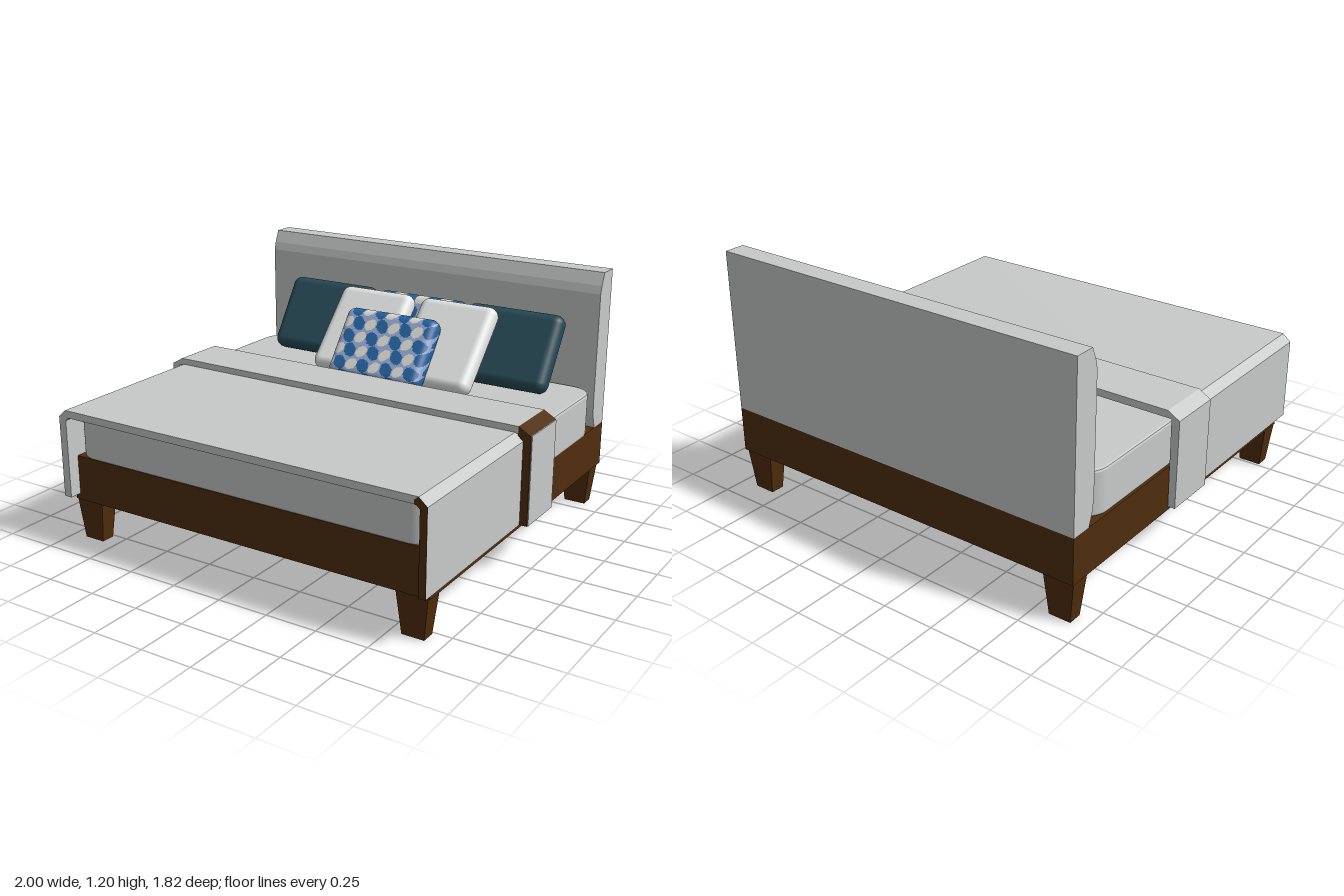
import * as THREE from 'three';
import { RoundedBoxGeometry } from 'three/addons/geometries/RoundedBoxGeometry.js';

const mat = (name, color) => {
  const m = new THREE.MeshStandardMaterial({ color });
  m.name = name;
  return m;
};

export function createModel() {
  const wood = mat('brown wood', 0x4f2d0d);
  const linen = mat('grey linen', 0xc8caca);
  const white = mat('white cotton', 0xe4e6e6);
  const teal = mat('dark teal', 0x264a55);
  const periwinkle = mat('periwinkle', 0x93a8d2);
  const blue = mat('blue', 0x2562a0);
  const cream = mat('cream', 0xdcdcd6);

  const bed = new THREE.Group();
  bed.name = 'bed';
  const add = (name, geometry, material, x = 0, y = 0, z = 0) => {
    const mesh = new THREE.Mesh(geometry, material);
    mesh.name = name;
    mesh.position.set(x, y, z);
    bed.add(mesh);
    return mesh;
  };
  const extrude = (points, depth) => new THREE.ExtrudeGeometry(
    new THREE.Shape(points.map(([x, y]) => new THREE.Vector2(x, y))),
    { depth, bevelEnabled: false });

  // Frame and tapered legs
  add('bedFrame', new THREE.BoxGeometry(1.9, 0.22, 1.76), wood, -0.005, 0.31, -0.03);
  const legGeometry = new THREE.BoxGeometry(0.152, 0.205, 0.096);
  const lp = legGeometry.attributes.position;
  for (let i = 0; i < lp.count; i++) {
    if (lp.getY(i) < 0) lp.setXYZ(i, lp.getX(i) * 0.7, lp.getY(i), lp.getZ(i) * 0.7);
  }
  legGeometry.computeVertexNormals();
  for (const x of [-0.877, 0.86]) {
    for (const z of [0.797, -0.853]) add('leg', legGeometry, wood, x, 0.1025, z);
  }

  // Headboard: side profile swept across the width
  const headboard = extrude([
    [-0.91, 0.42], [-0.805, 0.42], [-0.783, 0.48], [-0.775, 0.54],
    [-0.775, 1.1], [-0.785, 1.14], [-0.81, 1.2], [-0.91, 1.2],
  ], 1.9);
  headboard.rotateY(-Math.PI / 2);
  add('headboard', headboard, linen, 0.945);

  // Mattress with rounded corners and a soft edge
  const hw = 0.935, hl = 0.797, r = 0.1;
  const plan = new THREE.Shape();
  plan.absarc(hw - r, hl - r, r, 0, Math.PI / 2);
  plan.absarc(-hw + r, hl - r, r, Math.PI / 2, Math.PI);
  plan.absarc(-hw + r, -hl + r, r, Math.PI, Math.PI * 1.5);
  plan.absarc(hw - r, -hl + r, r, Math.PI * 1.5, Math.PI * 2);
  const mattress = new THREE.ExtrudeGeometry(plan, {
    depth: 0.19, curveSegments: 8, bevelThickness: 0.012, bevelSize: 0.012, bevelSegments: 2,
  });
  mattress.rotateX(-Math.PI / 2);
  add('mattress', mattress, linen, 0.003, 0.427, 0.04);

  // Blanket draped over the foot of the bed
  add('blanket', extrude([
    [-0.97, 0.23], [-0.97, 0.625], [-0.93, 0.66], [0.92, 0.66], [0.96, 0.625], [0.96, 0.23],
    [0.927, 0.23], [0.927, 0.61], [0.91, 0.625], [-0.915, 0.625], [-0.93, 0.61], [-0.93, 0.23],
  ], 1.06), linen, 0, 0, -0.15);
  add('blanketTrim', extrude([
    [0.927, 0.23], [0.96, 0.23], [0.96, 0.625], [0.92, 0.66], [0.9, 0.645], [0.9, 0.625],
    [0.91, 0.625], [0.927, 0.61],
  ], 0.003), wood, 0, 0, 0.91);

  // Runner across the bed, with a brown turned edge on one side
  const runnerLength = 0.265;
  add('runner', extrude([
    [-1, 0.23], [-1, 0.655], [-0.94, 0.69], [0.935, 0.69], [0.935, 0.655],
    [-0.96, 0.655], [-0.965, 0.23],
  ], runnerLength), linen, 0, 0, -0.2);
  add('runnerEdge', extrude([
    [0.935, 0.69], [0.996, 0.655], [0.996, 0.23], [0.95, 0.23], [0.935, 0.655],
  ], runnerLength), wood, 0, 0, -0.2);
  add('runnerSide', new THREE.BoxGeometry(0.006, 0.425, runnerLength - 0.012), linen,
    0.997, 0.4425, -0.0675);

  // Leaning cushions
  const lean = (mesh, degrees) => { mesh.rotation.x = -THREE.MathUtils.degToRad(degrees); };
  const plain = (name, material, w, h, x, y, z, degrees) =>
    lean(add(name, new RoundedBoxGeometry(w, h, 0.1, 3, 0.045), material, x, y, z), degrees);
  plain('tealCushion', teal, 0.515, 0.395, -0.512, 0.81, -0.628, 33);
  plain('tealCushion', teal, 0.515, 0.395, 0.54, 0.81, -0.628, 33);
  plain('whiteCushion', white, 0.415, 0.475, -0.178, 0.818, -0.465, 43);
  plain('whiteCushion', white, 0.415, 0.475, 0.287, 0.818, -0.465, 43);

  const patterned = (h, y, z, degrees) => lean(
    add('spottedCushion', spottedCushion(0.515, h, 0.1, 0.045), [periwinkle, blue, cream], 0.017, y, z), degrees);
  patterned(0.39, 0.809, -0.629, 33);
  patterned(0.37, 0.793, -0.334, 37);

  return bed;
}

// Rounded cushion whose faces are grouped into ground, blue spots and cream spots
function spottedCushion(w, h, t, radius) {
  const g = new THREE.BoxGeometry(w, h, t, 72, 54, 12);
  const p = g.attributes.position, n = g.attributes.normal;
  const v = new THREE.Vector3(), core = new THREE.Vector3();
  const limit = new THREE.Vector3(w / 2 - radius, h / 2 - radius, t / 2 - radius);
  const low = limit.clone().negate();
  for (let i = 0; i < p.count; i++) {
    v.fromBufferAttribute(p, i);
    core.copy(v).clamp(low, limit);
    v.sub(core).normalize();
    n.setXYZ(i, v.x, v.y, v.z);
    v.multiplyScalar(radius).add(core);
    p.setXYZ(i, v.x, v.y, v.z);
  }

  // Staggered rows of alternating blue and cream ovals
  const pitchX = 0.066, pitchY = 0.072;
  const spotAt = (x, y) => {
    const row = Math.round(y / pitchY);
    const u = x / pitchX + row * 0.5;
    const col = Math.round(u);
    const dx = (u - col) * pitchX, dy = y - row * pitchY;
    const isBlue = (((col + (row >> 1)) % 2) + 2) % 2 === 0;
    const tilt = dx + dy * (isBlue ? 0.25 : -0.25);
    const size = isBlue ? 0.034 : 0.029;
    return Math.hypot(tilt, dy * 0.95) < size ? (isBlue ? 1 : 2) : 0;
  };
  const lists = [[], [], []];
  const index = g.index.array;
  for (let i = 0; i < index.length; i += 3) {
    const tri = [index[i], index[i + 1], index[i + 2]];
    const mean = (get) => tri.reduce((s, k) => s + get(k), 0) / 3;
    const depth = mean((k) => p.getZ(k));
    const x = mean((k) => p.getX(k)) + depth * 0.5, y = mean((k) => p.getY(k)) + depth;
    lists[spotAt(x, y)].push(...tri);
  }
  g.clearGroups();
  let start = 0;
  lists.forEach((list, m) => { g.addGroup(start, list.length, m); start += list.length; });
  g.setIndex(lists.flat());
  return g;
}
